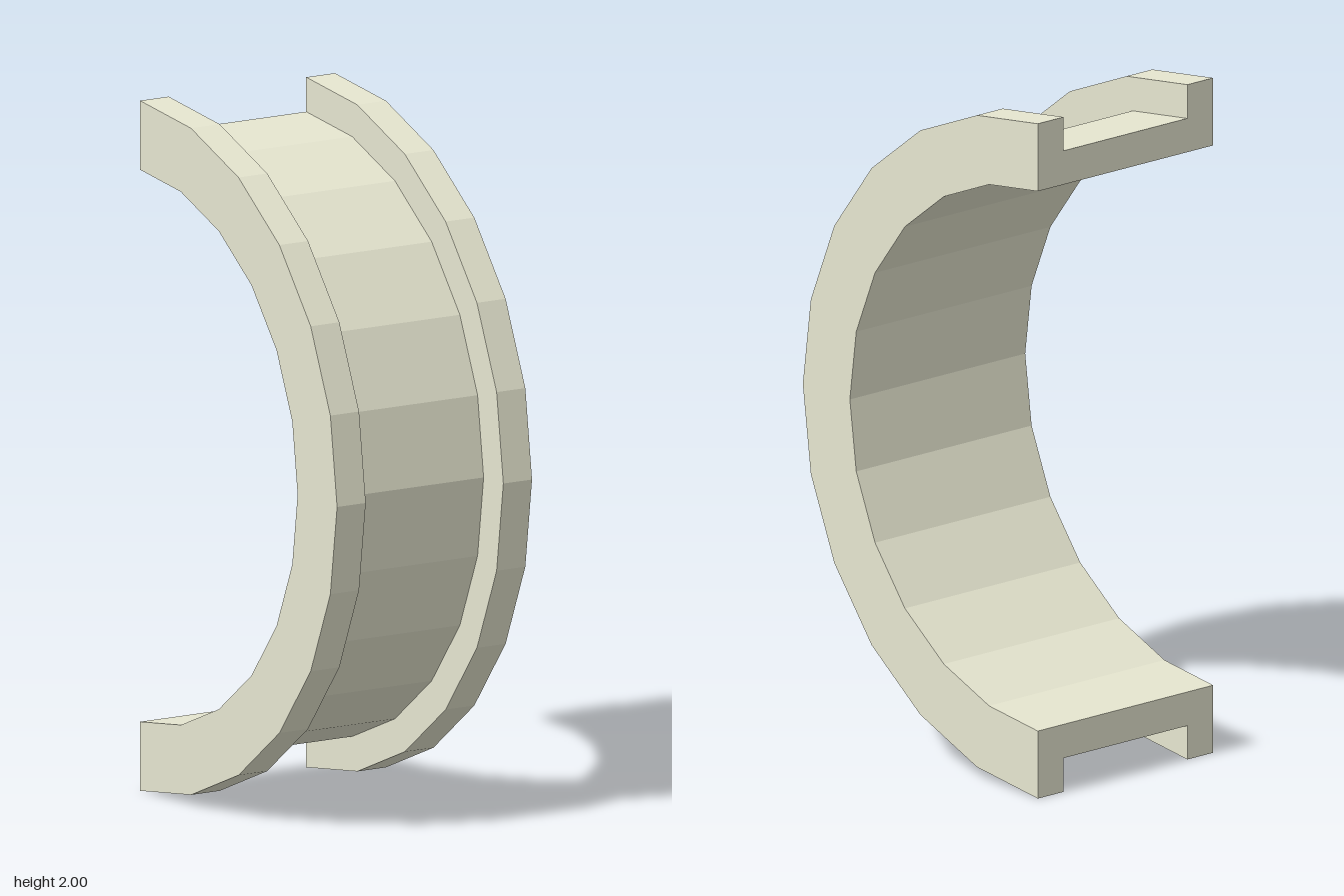
import * as THREE from 'three';

// Channel cross-section: [radius, offset along the axis], counter-clockwise
const W = 0.333, G = 0.235, INNER = 0.8, FLOOR = 0.9, OUTER = 1;
const section = [
  [INNER, -W], [OUTER, -W], [OUTER, -G], [FLOOR, -G],
  [FLOOR, G], [OUTER, G], [OUTER, W], [INNER, W],
].map(([r, a]) => new THREE.Vector2(r, a));

export function createModel() {
  const model = new THREE.Group();
  model.name = 'halfRingChannel';
  const material = new THREE.MeshStandardMaterial({ color: 0xe6e6d0, flatShading: true });

  const add = (name, geometry) => {
    const mesh = new THREE.Mesh(geometry, material);
    mesh.name = name;
    mesh.position.set(0, 1, -0.5);
    model.add(mesh);
  };

  // Half ring with a flange on each side, swept about the x axis
  const ring = new THREE.LatheGeometry([...section, section[0]], 12, -Math.PI / 2, Math.PI);
  ring.rotateZ(Math.PI / 2);
  add('flangedHalfRing', ring.toNonIndexed());

  // Flat end faces, looking backwards
  const end = () => new THREE.ShapeGeometry(
    new THREE.Shape(section.map((p) => new THREE.Vector2(p.y, p.x))));
  add('upperEndFace', end().rotateY(Math.PI));
  add('lowerEndFace', end().rotateX(Math.PI));

  return model;
}
